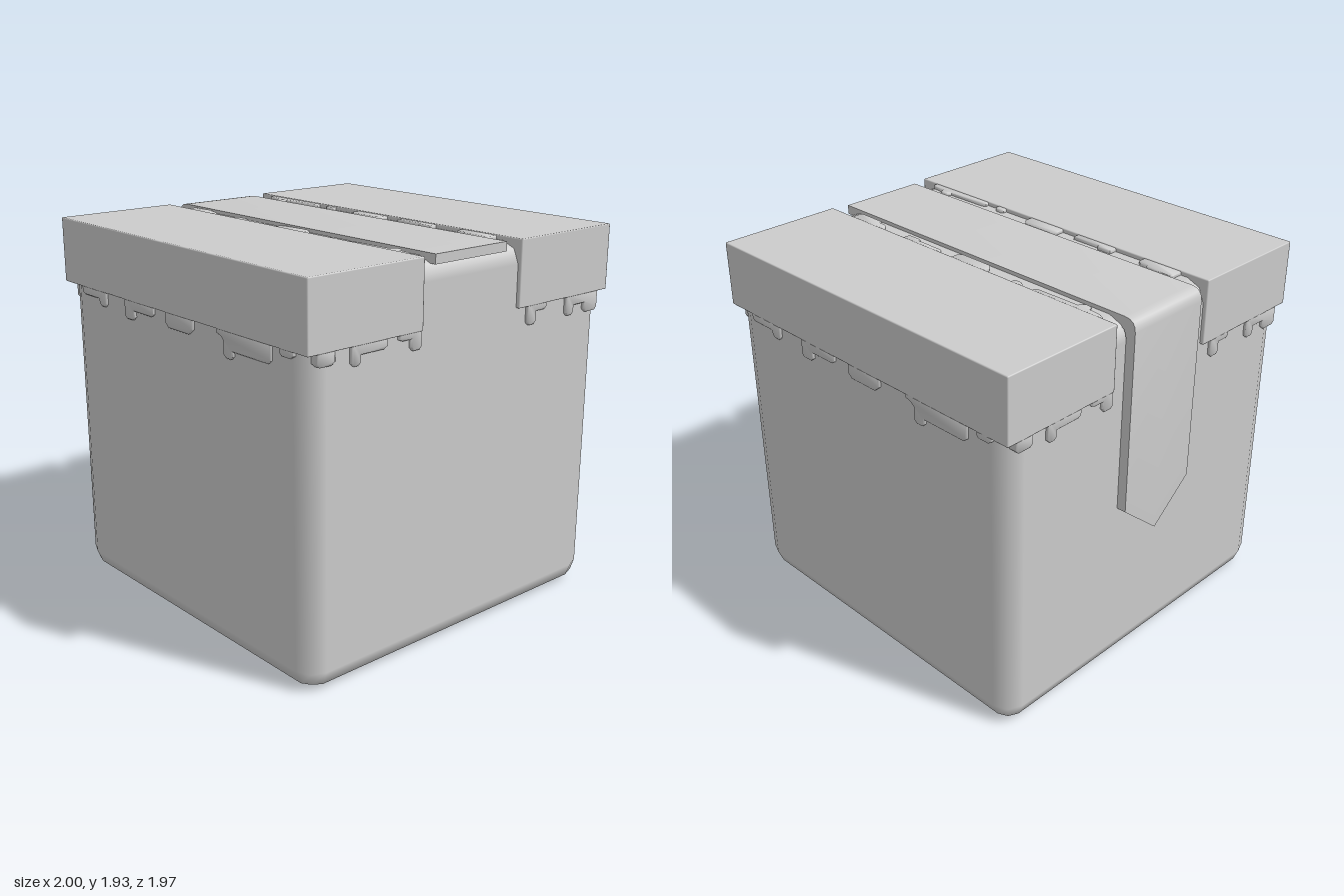
import * as THREE from 'three';
import { toCreasedNormals } from 'three/addons/utils/BufferGeometryUtils.js';
import { RoundedBoxGeometry } from 'three/addons/geometries/RoundedBoxGeometry.js';

const material = new THREE.MeshStandardMaterial({ color: 0xcccccc });
const CX = 0.0125; // the box axis, offset by the strap on one side

function add(parent, name, geometry, x = 0, y = 0, z = 0) {
  const mesh = new THREE.Mesh(geometry, material);
  mesh.name = name;
  mesh.position.set(x, y, z);
  parent.add(mesh);
  return mesh;
}

// Drip outlines as [position along the edge, depth past the edge]
const FRONT = [
  [[-0.81, 0.03], [-0.79, 0.04], [-0.65, 0.04], [-0.645, 0.06], [-0.63, 0.075], [-0.6, 0.075], [-0.585, 0.06]],
  [[-0.41, 0.08], [-0.395, 0.095], [-0.345, 0.095], [-0.325, 0.08], [-0.325, 0.048], [-0.18, 0.048], [-0.16, 0.035]],
  [[-0.055, 0.05], [-0.03, 0.073], [0.13, 0.073], [0.165, 0.045]],
  [[0.35, 0.02], [0.385, 0.03], [0.403, 0.045], [0.403, 0.11], [0.42, 0.125], [0.455, 0.125], [0.47, 0.11],
    [0.47, 0.087], [0.72, 0.087], [0.74, 0.07]],
  [[0.8, 0.02], [0.815, 0.033], [0.87, 0.033], [0.89, 0.02]],
];
const LEFT = [
  [[-0.93, 0.045], [-0.915, 0.06], [-0.85, 0.06], [-0.83, 0.045]],
  [[-0.74, 0.075], [-0.725, 0.09], [-0.7, 0.09], [-0.685, 0.075], [-0.685, 0.043], [-0.55, 0.043], [-0.53, 0.03]],
  [[-0.46, 0.02], [-0.44, 0.028], [-0.39, 0.028], [-0.39, 0.065], [-0.375, 0.083], [-0.335, 0.083], [-0.322, 0.07]],
];
const RIGHT = [
  [[0.39, 0.08], [0.405, 0.095], [0.44, 0.095], [0.455, 0.08], [0.455, 0.032], [0.515, 0.032], [0.53, 0.02]],
  [[0.68, 0.08], [0.695, 0.095], [0.725, 0.095], [0.74, 0.08], [0.74, 0.047], [0.82, 0.047], [0.82, 0.08],
    [0.84, 0.097], [0.91, 0.097], [0.925, 0.08]],
];
const INNER = [
  [[-0.81, 0.055], [-0.8, 0.066], [-0.655, 0.066], [-0.645, 0.05], [-0.605, 0.05], [-0.585, 0.035]],
  [[-0.41, 0.045], [-0.33, 0.045], [-0.32, 0.03], [-0.16, 0.03]],
  [[-0.06, 0.045], [-0.035, 0.065], [0.14, 0.065], [0.167, 0.04]],
  [[0.345, 0.022], [0.36, 0.03], [0.39, 0.03], [0.405, 0.02]],
  [[0.48, 0.02], [0.5, 0.03], [0.735, 0.034], [0.745, 0.055], [0.765, 0.064], [0.79, 0.06], [0.805, 0.035],
    [0.87, 0.03], [0.89, 0.02]],
];

// Thin bevelled plate; its outer face lies at local z = 0
function dripGeometry(outline, offset, edge, direction, thickness) {
  const first = outline[0], last = outline[outline.length - 1];
  const points = [[first[0], -0.02], ...outline, [last[0], -0.02]]
    .map(([u, d]) => new THREE.Vector2(u - offset, edge + direction * d));
  const bevel = 0.005;
  const geometry = new THREE.ExtrudeGeometry(new THREE.Shape(points), {
    depth: thickness - 2 * bevel, bevelThickness: bevel, bevelSize: bevel, bevelOffset: -bevel, bevelSegments: 1,
  });
  geometry.translate(0, 0, bevel - thickness);
  return toCreasedNormals(geometry, 0.9);
}

function lidHalf() {
  const half = new THREE.Group();
  half.name = 'lidHalf';
  add(half, 'lidSlab', new RoundedBoxGeometry(1.966, 0.333, 0.667, 1, 0.006), 0, 1.7685, 0.6535);
  for (const outline of FRONT) add(half, 'frontDrip', dripGeometry(outline, CX, 1.602, -1, 0.05), 0, 0, 0.983);
  for (const outline of LEFT) {
    add(half, 'leftDrip', dripGeometry(outline, 0, 1.602, -1, 0.05), 0.979).rotation.y = Math.PI / 2;
  }
  for (const outline of RIGHT) {
    add(half, 'rightDrip', dripGeometry(outline, 0, 1.602, -1, 0.05), -0.979).rotation.y = -Math.PI / 2;
  }
  for (const outline of INNER) {
    add(half, 'topDrip', dripGeometry(outline, CX, -0.32, 1, 0.03), 0, 1.931).rotation.x = -Math.PI / 2;
  }
  return half;
}

// Strap profile swept across its width, the hanging end pulled down to a point
function strapGeometry() {
  const profile = new THREE.Shape();
  profile.moveTo(0.9625, 1.885);
  profile.lineTo(0.9625, 1.932);
  profile.lineTo(-0.95, 1.932);
  profile.quadraticCurveTo(-1.0125, 1.932, -1.0125, 1.87);
  profile.lineTo(-1.0125, 0.93);
  profile.lineTo(-0.9625, 0.93);
  profile.lineTo(-0.9625, 1.82);
  profile.quadraticCurveTo(-0.9625, 1.885, -0.9, 1.885);
  const width = 0.47;
  const geometry = new THREE.ExtrudeGeometry(profile, { depth: width, steps: 2, bevelEnabled: false, curveSegments: 4 });
  geometry.translate(0, 0, -width / 2);
  const p = geometry.attributes.position;
  for (let i = 0; i < p.count; i++) {
    if (p.getY(i) < 1) p.setY(i, p.getY(i) - 0.2 * (1 - Math.abs(p.getZ(i)) / (width / 2)));
  }
  return toCreasedNormals(geometry, 0.6);
}

export function createModel() {
  const model = new THREE.Group();
  model.name = 'box';
  const core = new THREE.Group();
  core.name = 'boxParts';
  core.position.x = CX;
  model.add(core);

  // Rounded body
  add(core, 'body', new RoundedBoxGeometry(1.925, 1.913, 1.934, 1, 0.1), 0, 0.9565, 0);

  // Two matching lid halves, turned about the vertical axis
  for (const turn of [0, Math.PI]) {
    const half = lidHalf();
    half.rotation.y = turn;
    core.add(half);
  }

  add(core, 'strap', strapGeometry());
  return model;
}
